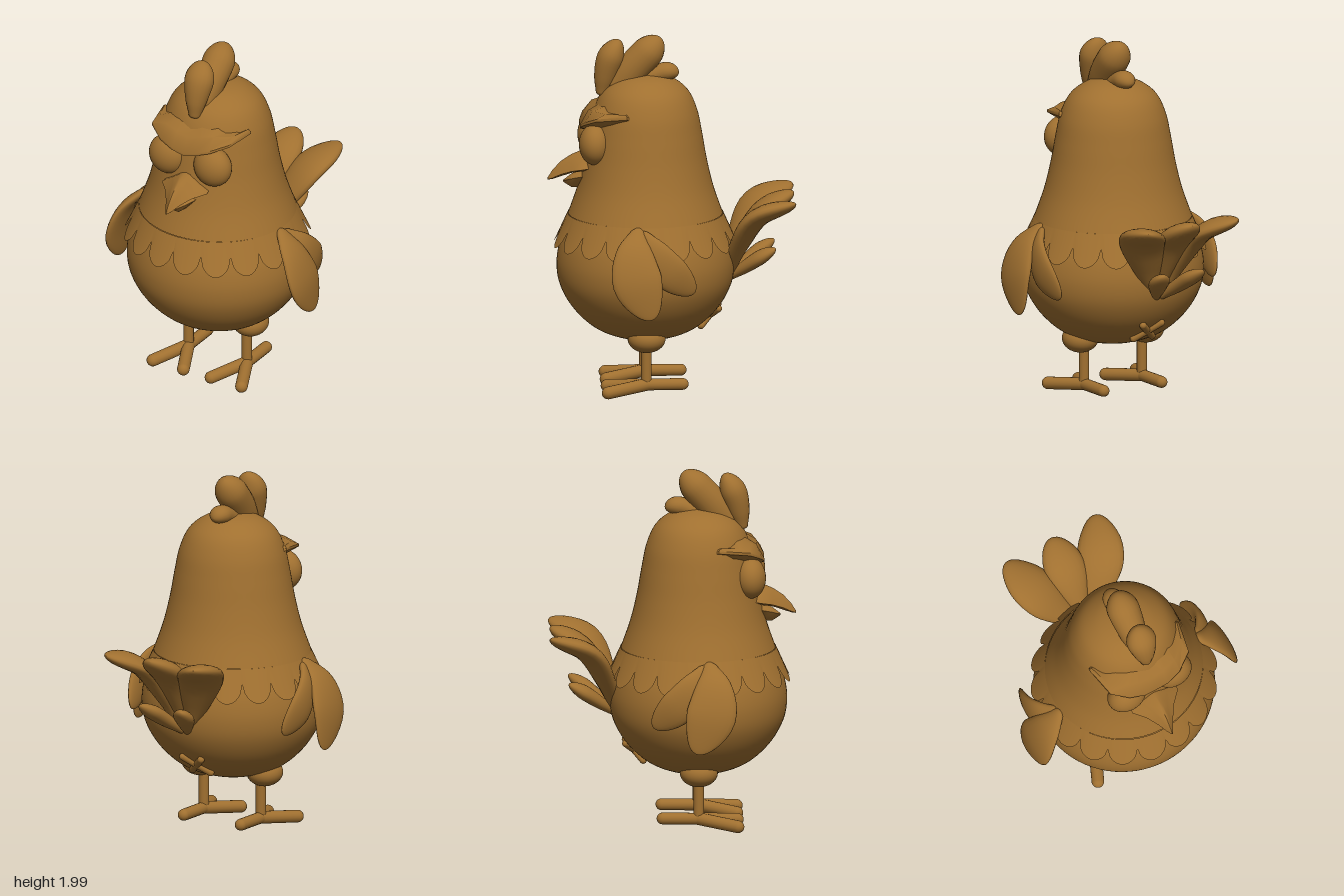
import * as THREE from 'three';
import { toCreasedNormals } from 'three/addons/utils/BufferGeometryUtils.js';

const material = new THREE.MeshStandardMaterial({ color: 0xa07030 });
const thinMaterial = new THREE.MeshStandardMaterial({ color: 0xa07030, side: THREE.DoubleSide });
const V = (x, y, z) => new THREE.Vector3(x, y, z);
const CENTRE_Z = 0.14; // axis of the body, the tail reaches further back

// Skin over rings of points, each running counter-clockwise about the direction of travel
function loft(rings) {
  const n = rings[0].length, pos = [], idx = [];
  rings.forEach(r => r.forEach(p => pos.push(p.x, p.y, p.z)));
  for (let i = 0; i < rings.length - 1; i++) {
    for (let j = 0; j < n; j++) {
      const a = i * n + j, b = i * n + (j + 1) % n;
      idx.push(a, b, a + n, b, b + n, a + n);
    }
  }
  [0, rings.length - 1].forEach((i, end) => {
    const c = rings[i].reduce((s, p) => s.add(p), V(0, 0, 0)).divideScalar(n);
    const k = pos.length / 3;
    pos.push(c.x, c.y, c.z);
    for (let j = 0; j < n; j++) {
      const a = i * n + j, b = i * n + (j + 1) % n;
      if (end) idx.push(k, a, b); else idx.push(k, b, a);
    }
  });
  const g = new THREE.BufferGeometry();
  g.setAttribute('position', new THREE.Float32BufferAttribute(pos, 3));
  g.setIndex(idx);
  g.computeVertexNormals();
  return g;
}

// Smooth value at t from evenly spaced numbers
const along = (list, t) => new THREE.SplineCurve(list.map((v, i) => new THREE.Vector2(i, v))).getPoint(t).y;

// Rounded lobe: elliptical sections along a path, side gives the wide direction
function lobe(points, widths, thicks, side, startCap = 0.05, endCap = 0.25) {
  const curve = new THREE.CatmullRomCurve3(points.map(p => V(...p)));
  const rings = [], steps = 24, sides = 20;
  for (let i = 0; i <= steps; i++) {
    const t = (1 - Math.cos(Math.PI * i / steps)) / 2;
    const p = curve.getPoint(t), T = curve.getTangent(t);
    const S = V(...side).addScaledVector(T, -T.dot(V(...side))).normalize();
    const N = T.clone().cross(S);
    const near = Math.max(0, 1 - t / startCap), far = Math.max(0, 1 - (1 - t) / endCap);
    const round = Math.max(0.01, Math.sqrt(Math.max(0, 1 - near * near - far * far)));
    const w = along(widths, t) * round, h = along(thicks, t) * round;
    rings.push(Array.from({ length: sides }, (_, j) => {
      const a = j / sides * Math.PI * 2;
      return p.clone().addScaledVector(S, w * Math.cos(a)).addScaledVector(N, h * Math.sin(a));
    }));
  }
  return loft(rings);
}

function capsule(a, b, radius) {
  const d = b.clone().sub(a);
  const g = new THREE.CapsuleGeometry(radius, d.length(), 8, 16);
  g.applyQuaternion(new THREE.Quaternion().setFromUnitVectors(V(0, 1, 0), d.normalize()));
  const m = a.clone().add(b).multiplyScalar(0.5);
  return g.translate(m.x, m.y, m.z);
}

const ellipsoid = (x, y, z, rx, ry, rz) =>
  new THREE.SphereGeometry(1, 32, 24).scale(rx, ry, rz).translate(x, y, z);

function turned(profile) {
  const pts = new THREE.SplineCurve(profile.map(p => new THREE.Vector2(...p))).getPoints(48);
  pts.forEach(p => { p.x = Math.max(p.x, 0); });
  return new THREE.LatheGeometry(pts, 72).scale(1, 1, 0.97).translate(0, 0, CENTRE_Z);
}

// Collar of feathers with a scalloped lower edge
function collarGeometry() {
  const scallops = 18, around = scallops * 14, rows = 8;
  const pts = Array.from({ length: rows + 1 }, (_, i) => new THREE.Vector2(1, i / rows));
  const g = new THREE.LatheGeometry(pts, around);
  const pos = g.attributes.position;
  for (let i = 0; i < pos.count; i++) {
    const column = Math.floor(i / (rows + 1));
    const a = column / around * Math.PI * 2;
    const down = 1 - pos.getY(i);
    const tip = Math.sqrt(Math.abs(Math.sin(a * scallops / 2)));
    const drop = down * (0.08 + 0.1 * tip);
    const r = 0.439 + drop * 0.42 + 0.008 * tip * down;
    pos.setXYZ(i, Math.sin(a) * r, 1.0 - drop, Math.cos(a) * r * 0.98 + CENTRE_Z);
  }
  g.computeVertexNormals();
  return g;
}

// Frowning brow: lid sections from one temple to the other
function browGeometry() {
  // x, then y and z of the top, of the front edge and of the hidden back
  const half = [
    [0, 1.63, 0.38, 1.475, 0.5, 1.44, 0.36],
    [0.07, 1.645, 0.37, 1.495, 0.505, 1.46, 0.36],
    [0.16, 1.64, 0.34, 1.525, 0.485, 1.49, 0.33],
    [0.25, 1.6, 0.27, 1.562, 0.425, 1.53, 0.26],
    [0.285, 1.59, 0.22, 1.58, 0.25, 1.57, 0.2],
  ];
  const ring = (s, [x, ty, tz, fy, fz, by, bz]) => [
    V(s * x * 0.88, ty, tz),
    V(s * x * 0.95, (ty + fy) / 2 + 0.022, (tz + fz) / 2 + 0.022),
    V(s * x, fy + 0.015, fz), V(s * x, fy, fz), V(s * x * 0.9, by, bz),
  ];
  const rings = [...half.slice(1).reverse().map(h => ring(-1, h)), ...half.map(h => ring(1, h))];
  return toCreasedNormals(loft(rings), 0.8);
}

// Beak half: sections [z, corner height, half width, ridge height, underside height]
function beakGeometry(sections) {
  return toCreasedNormals(loft(sections.map(([z, y, w, top, low]) => [
    V(w, y, z), V(w * 0.5, y + (top - y) * 0.55, z), V(w * 0.18, y + (top - y) * 0.92, z), V(0, top, z),
    V(-w * 0.18, y + (top - y) * 0.92, z), V(-w * 0.5, y + (top - y) * 0.55, z),
    V(-w, y, z), V(-w * 0.4, y + (low - y) * 0.75, z), V(0, low, z), V(w * 0.4, y + (low - y) * 0.75, z),
  ])), 0.9);
}

export function createModel() {
  const model = new THREE.Group();
  model.name = 'chicken';
  const add = (name, geometry, mat = material) => {
    const mesh = new THREE.Mesh(geometry, mat);
    mesh.name = name;
    model.add(mesh);
  };

  // Body, neck and head
  add('body', turned([[0, 0.29], [0.14, 0.303], [0.29, 0.36], [0.41, 0.465], [0.485, 0.59],
    [0.507, 0.71], [0.49, 0.83], [0.45, 0.93], [0.4, 1.02]]));
  add('neckAndHead', turned([[0.44, 1.0], [0.387, 1.15], [0.35, 1.3], [0.323, 1.45], [0.295, 1.58],
    [0.245, 1.685], [0.165, 1.75], [0.08, 1.777], [0, 1.783]]));
  add('collar', collarGeometry(), thinMaterial);

  // Face
  add('brow', browGeometry(), thinMaterial);
  add('upperBeak', beakGeometry([[0.4, 1.28, 0.13, 1.36, 1.25], [0.49, 1.27, 0.145, 1.355, 1.235],
    [0.55, 1.25, 0.085, 1.33, 1.225], [0.61, 1.225, 0.045, 1.29, 1.205],
    [0.655, 1.2, 0.02, 1.24, 1.19], [0.68, 1.19, 0.003, 1.2, 1.187]]));
  add('lowerBeak', beakGeometry([[0.42, 1.22, 0.09, 1.25, 1.15], [0.5, 1.215, 0.075, 1.24, 1.145],
    [0.55, 1.2, 0.045, 1.22, 1.145], [0.595, 1.18, 0.004, 1.185, 1.175]]));

  // Comb
  const X = [1, 0, 0];
  add('combFront', lobe([[0, 1.66, 0.385], [0, 1.76, 0.365], [0, 1.87, 0.335], [0, 1.975, 0.285]],
    [0.03, 0.06, 0.085, 0.085], [0.03, 0.06, 0.075, 0.065], X, 0.05, 0.35));
  add('combMiddle', lobe([[0, 1.68, 0.3], [0, 1.8, 0.22], [0, 1.9, 0.13], [0, 1.985, 0.055]],
    [0.06, 0.08, 0.092, 0.085], [0.08, 0.09, 0.09, 0.08], X, 0.05, 0.35));
  add('combBack', lobe([[0, 1.74, 0.16], [0, 1.78, 0.08], [0, 1.795, 0.02], [0, 1.785, -0.045]],
    [0.05, 0.055, 0.06, 0.06], [0.04, 0.05, 0.052, 0.05], X, 0.1, 0.4));

  // Middle tail feather
  add('tailFeatherMiddle', lobe([[0, 0.64, -0.31], [0, 0.83, -0.39], [0, 1.0, -0.5], [0, 1.11, -0.68]],
    [0.02, 0.07, 0.115, 0.1], [0.03, 0.05, 0.055, 0.05], X));

  for (const s of [1, -1]) {
    const side = s > 0 ? 'left' : 'right';
    add(side + 'Eye', ellipsoid(s * 0.145, 1.415, 0.425, 0.113, 0.115, 0.087));

    // Wing of two feathers
    add(side + 'WingFrontFeather', lobe(
      [[s * 0.43, 1.0, 0.19], [s * 0.535, 0.89, 0.215], [s * 0.595, 0.74, 0.205], [s * 0.622, 0.52, 0.12]],
      [0.03, 0.1, 0.138, 0.12], [0.02, 0.03, 0.032, 0.022], [0, 0, 1], 0.08, 0.35));
    add(side + 'WingBackFeather', lobe(
      [[s * 0.44, 0.98, 0.18], [s * 0.515, 0.88, 0.11], [s * 0.535, 0.77, 0.02], [s * 0.505, 0.645, -0.115]],
      [0.03, 0.08, 0.1, 0.09], [0.02, 0.03, 0.03, 0.025], [0, 0.7, -0.7], 0.08, 0.35));

    // Tail
    add(side + 'TailFeather', lobe(
      [[s * 0.02, 0.64, -0.31], [s * 0.11, 0.84, -0.38], [s * 0.205, 1.01, -0.48], [s * 0.29, 1.1, -0.68]],
      [0.02, 0.09, 0.13, 0.1], [0.03, 0.045, 0.05, 0.045], [s * 0.9, 0.1, 0.45]));
    add(side + 'LowerTailFeather', lobe(
      [[s * 0.01, 0.63, -0.32], [s * 0.06, 0.7, -0.41], [s * 0.1, 0.76, -0.49], [s * 0.135, 0.815, -0.575]],
      [0.02, 0.045, 0.06, 0.055], [0.02, 0.035, 0.04, 0.035], X, 0.05, 0.35));

    // Leg and foot
    add(side + 'Thigh', ellipsoid(s * 0.215, 0.33, CENTRE_Z, 0.1, 0.078, 0.105));
    add(side + 'Shin', new THREE.CylinderGeometry(0.029, 0.029, 0.24, 20).translate(s * 0.19, 0.18, CENTRE_Z));
    const ankle = V(s * 0.19, 0.066, CENTRE_Z);
    add(side + 'OuterToe', capsule(ankle, V(s * 0.288, 0.04, 0.355), 0.035));
    add(side + 'InnerToe', capsule(ankle, V(s * 0.09, 0.04, 0.355), 0.035));
    add(side + 'BackToe', capsule(ankle, V(s * 0.19, 0.068, -0.06), 0.033));

    // Crossed mark under the tail
    add('vent', capsule(V(s * 0.06, 0.465, -0.262), V(-s * 0.06, 0.37, -0.165), 0.02));
  }
  return model;
}
